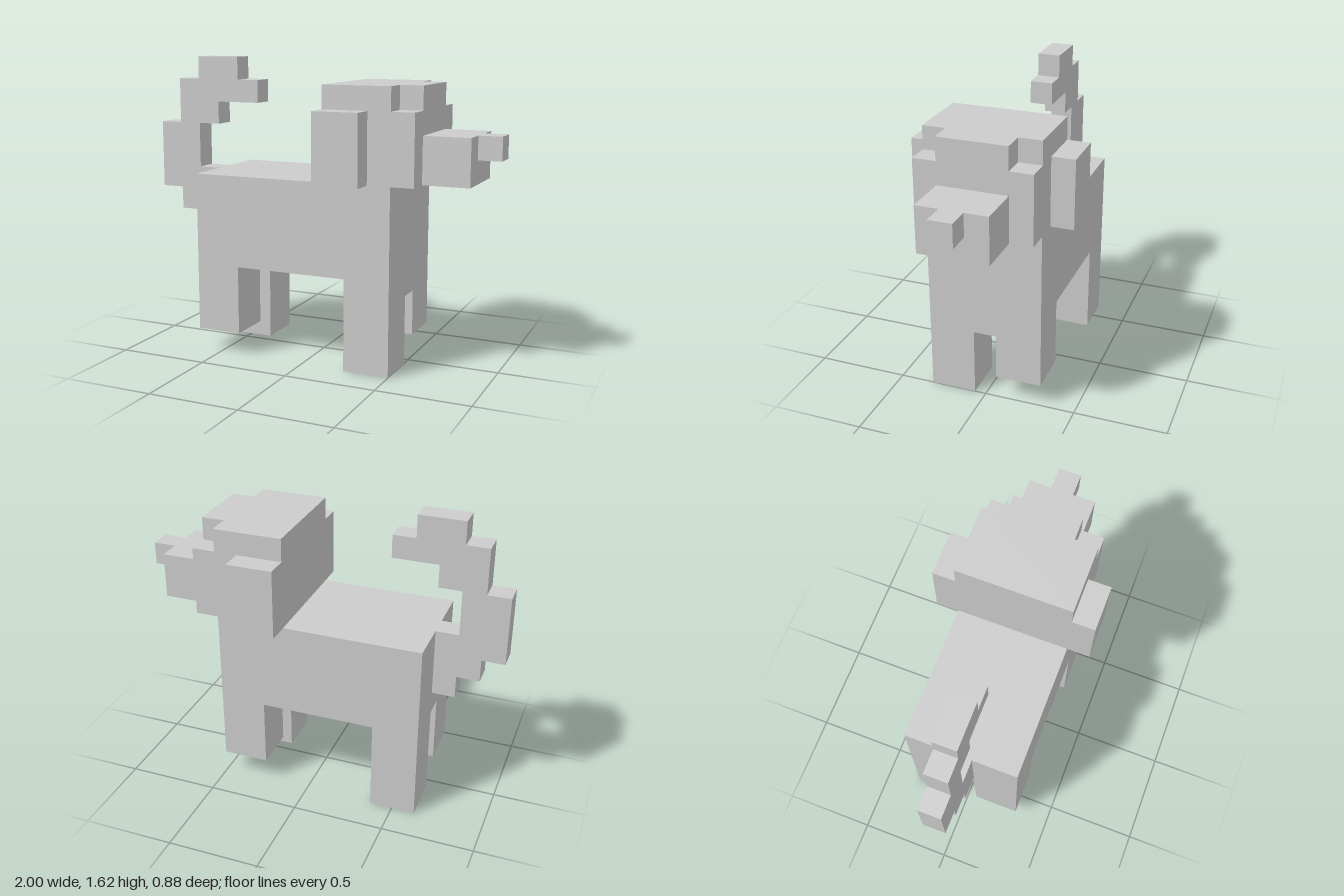
import * as THREE from 'three';

const U = 0.125; // one block
const material = new THREE.MeshStandardMaterial({ color: 0xcccccc, flatShading: true });

// Box from its extents, in blocks
function block(name, [x0, x1], [y0, y1], [z0, z1]) {
  const geometry = new THREE.BoxGeometry((x1 - x0) * U, (y1 - y0) * U, (z1 - z0) * U);
  geometry.translate((x0 + x1) / 2 * U, (y0 + y1) / 2 * U, (z0 + z1) / 2 * U);
  const mesh = new THREE.Mesh(geometry, material);
  mesh.name = name;
  return mesh;
}

// Outline in blocks, extruded along z and centred
function slab(name, points, depth) {
  const shape = new THREE.Shape(points.map(([x, y]) => new THREE.Vector2(x * U, y * U)));
  const geometry = new THREE.ExtrudeGeometry(shape, { depth: depth * U, bevelEnabled: false });
  geometry.translate(0, 0, -depth * U / 2);
  const mesh = new THREE.Mesh(geometry, material);
  mesh.name = name;
  return mesh;
}

export function createModel() {
  const dog = new THREE.Group();
  dog.name = 'dog';

  // Trunk, with the chest dipping between the front legs
  dog.add(block('body', [-5, 4], [4, 8], [-2.5, 2.5]));
  dog.add(block('chest', [2, 4], [3, 4], [-0.5, 0.5]));

  // Legs: one diagonal pair is lifted by a block, as in a walk
  for (const side of [1, -1]) {
    const z = side > 0 ? [0.5, 2.5] : [-2.5, -0.5];
    dog.add(block('frontLeg', [2, 4], [side > 0 ? 0 : 1, 4], z));
    dog.add(block('backLeg', [-5, -3], [side > 0 ? 1 : 0, 4], z));
  }

  // Head: the brow is notched at both front corners
  const head = new THREE.Group();
  head.name = 'head';
  head.add(block('skull', [1, 5], [8, 11], [-2.5, 2.5]));
  head.add(block('crown', [1, 4], [11, 12], [-2.5, 2.5]));
  head.add(block('brow', [4, 5], [11, 12], [-1.5, 1.5]));
  head.add(block('muzzle', [5, 7], [8, 10], [-1.5, 1.5]));
  head.add(block('nose', [7, 8], [9, 10], [-0.5, 0.5]));
  for (const z of [[2.5, 3.5], [-3.5, -2.5]]) head.add(block('ear', [1, 3], [8, 11], z));
  dog.add(head);

  // Tail curling up and forward in steps
  dog.add(slab('tail', [
    [-5, 5], [-5, 8], [-6, 8], [-6, 10], [-5, 10], [-5, 11], [-3, 11], [-3, 12],
    [-4, 12], [-4, 13], [-6, 13], [-6, 12], [-7, 12], [-7, 10], [-8, 10], [-8, 7],
    [-7, 7], [-7, 6], [-6, 6], [-6, 5],
  ], 1));

  return dog;
}
